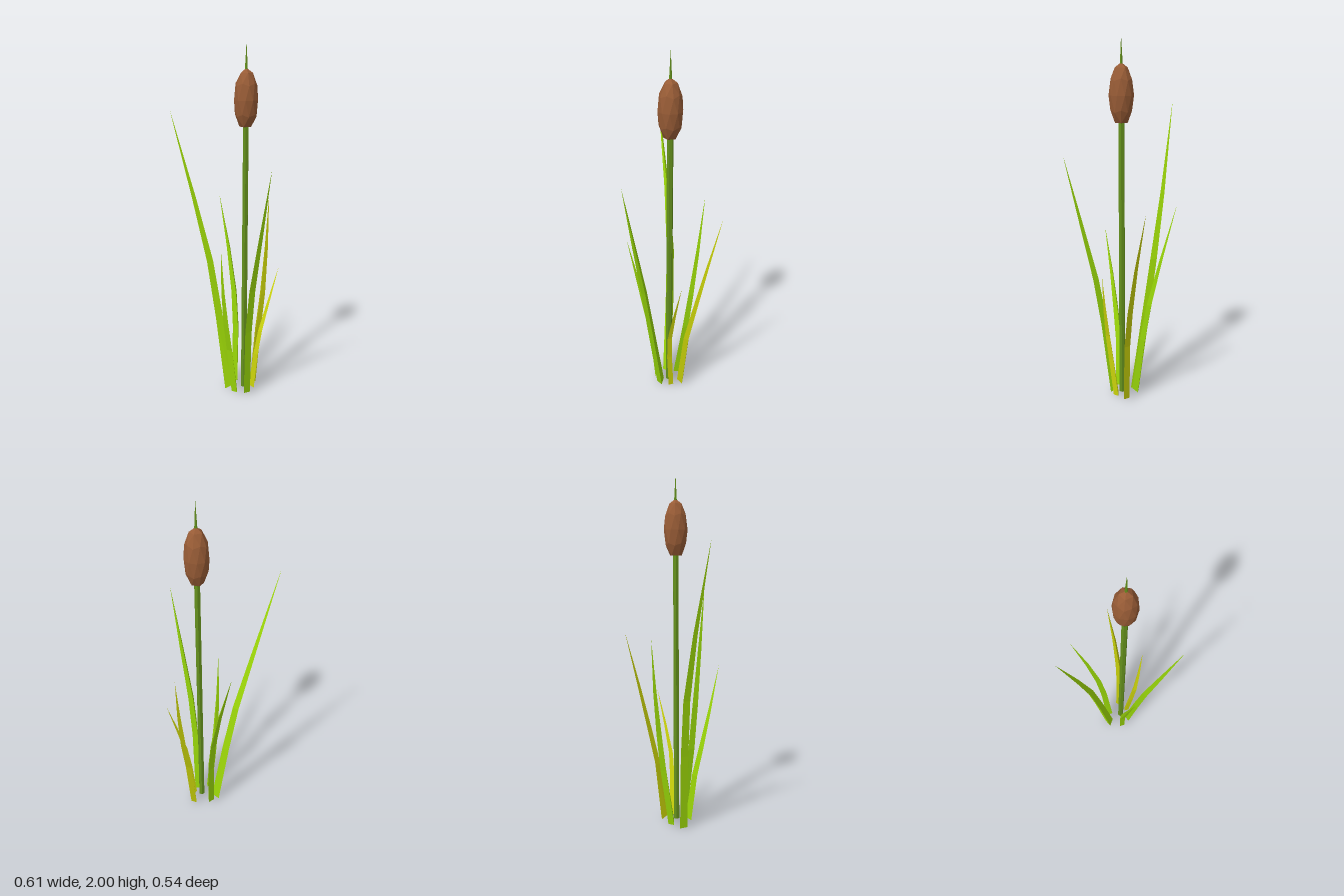
import * as THREE from 'three';

const CX = 0.11, CZ = -0.017; // stem axis

function mat(color) {
  return new THREE.MeshStandardMaterial({ color, flatShading: true });
}

// Blade of triangular section: flat outer face, ridge on the inner side.
// path: [x, y, z] centres from root to tip; the section faces the lean of the blade
function bladeGeometry(path, width) {
  const taper = [1, 1, 0.9, 0.57, 0];
  const ridge = [0.9, 0.8, 0.68, 0.42, 0];
  const root = path[0], tip = path[path.length - 1];
  const t = new THREE.Vector2(tip[0] - root[0], tip[2] - root[2]).normalize();
  const rings = path.map(([x, y, z], i) => {
    const w = width * taper[i] / 2, d = width * ridge[i];
    const out = d * 0.2, inn = d * 0.8, lift = i === 0 ? 0.015 : 0;
    return [
      [x + t.x * out - t.y * w, y, z + t.y * out + t.x * w],
      [x - t.x * inn, y + lift, z - t.y * inn],
      [x + t.x * out + t.y * w, y, z + t.y * out - t.x * w],
    ];
  });
  const pos = [];
  const tri = (...pts) => pts.forEach((p) => pos.push(...p));
  tri(...rings[0]); // root cap
  for (let k = 0; k < rings.length - 1; k++) {
    const lo = rings[k], hi = rings[k + 1];
    for (let i = 0; i < 3; i++) {
      const j = (i + 1) % 3;
      if (k < rings.length - 2) tri(lo[i], hi[i], hi[j]);
      tri(lo[i], hi[j], lo[j]);
    }
  }
  const g = new THREE.BufferGeometry();
  g.setAttribute('position', new THREE.Float32BufferAttribute(pos, 3));
  g.computeVertexNormals();
  return g;
}

const BLADES = [
  { name: 'tallRightLeaf', color: 0xa0dc08, width: 0.047,
    path: [[0.011, 0, -0.033], [-0.048, 0.45, -0.063], [-0.1, 0.78, -0.08], [-0.185, 1.15, -0.079], [-0.307, 1.65, -0.06]] },
  { name: 'backRightLeaf', color: 0x94d008, width: 0.038,
    path: [[0.056, 0.015, -0.082], [0.058, 0.35, -0.132], [0.045, 0.56, -0.165], [0.008, 0.82, -0.212], [-0.051, 1.13, -0.267]] },
  { name: 'backLeftLeaf', color: 0xbcc408, width: 0.036,
    path: [[0.16, 0.015, -0.082], [0.187, 0.35, -0.108], [0.211, 0.56, -0.146], [0.229, 0.82, -0.2], [0.242, 1.13, -0.272]] },
  { name: 'shortLeftLeaf', color: 0xd0d80c, width: 0.03,
    path: [[0.163, 0.015, -0.015], [0.185, 0.24, 0.001], [0.208, 0.39, 0.006], [0.25, 0.56, -0.008], [0.303, 0.77, -0.033]] },
  { name: 'frontLeftLeaf', color: 0x90cc08, width: 0.04,
    path: [[0.128, 0.01, 0.04], [0.136, 0.42, 0.1], [0.156, 0.68, 0.14], [0.2, 1.0, 0.2], [0.253, 1.38, 0.27]] },
  { name: 'frontRightLeaf', color: 0x9cd808, width: 0.035,
    path: [[0.06, 0.015, 0.044], [0.032, 0.29, 0.067], [0.014, 0.46, 0.1], [-0.001, 0.67, 0.142], [-0.01, 0.94, 0.197]] },
];

export function createModel() {
  const model = new THREE.Group();
  const add = (name, geometry, color, x = 0, y = 0, z = 0) => {
    const mesh = new THREE.Mesh(geometry, mat(color));
    mesh.name = name;
    mesh.position.set(x, y, z);
    model.add(mesh);
  };

  // Stem and the spike above the seed head
  add('stem', new THREE.CylinderGeometry(0.017, 0.018, 1.56, 6), 0x64901c, CX, 0.8, CZ);
  add('spike', new THREE.ConeGeometry(0.009, 0.16, 5), 0x64901c, CX, 1.92, CZ);

  // Seed head: stretched faceted ball, pole up, cut flat underneath
  const head = new THREE.IcosahedronGeometry(1, 1);
  head.rotateZ(-Math.atan(2 / (1 + Math.sqrt(5))));
  const p = head.attributes.position;
  for (let i = 0; i < p.count; i++) p.setY(i, Math.max(p.getY(i), -0.85));
  head.scale(0.066, 0.165, 0.066);
  head.computeVertexNormals();
  add('seedHead', head, 0x985c36, CX, 1.7, CZ);

  // Leaves around the stem
  for (const b of BLADES) add(b.name, bladeGeometry(b.path, b.width), b.color);

  return model;
}
